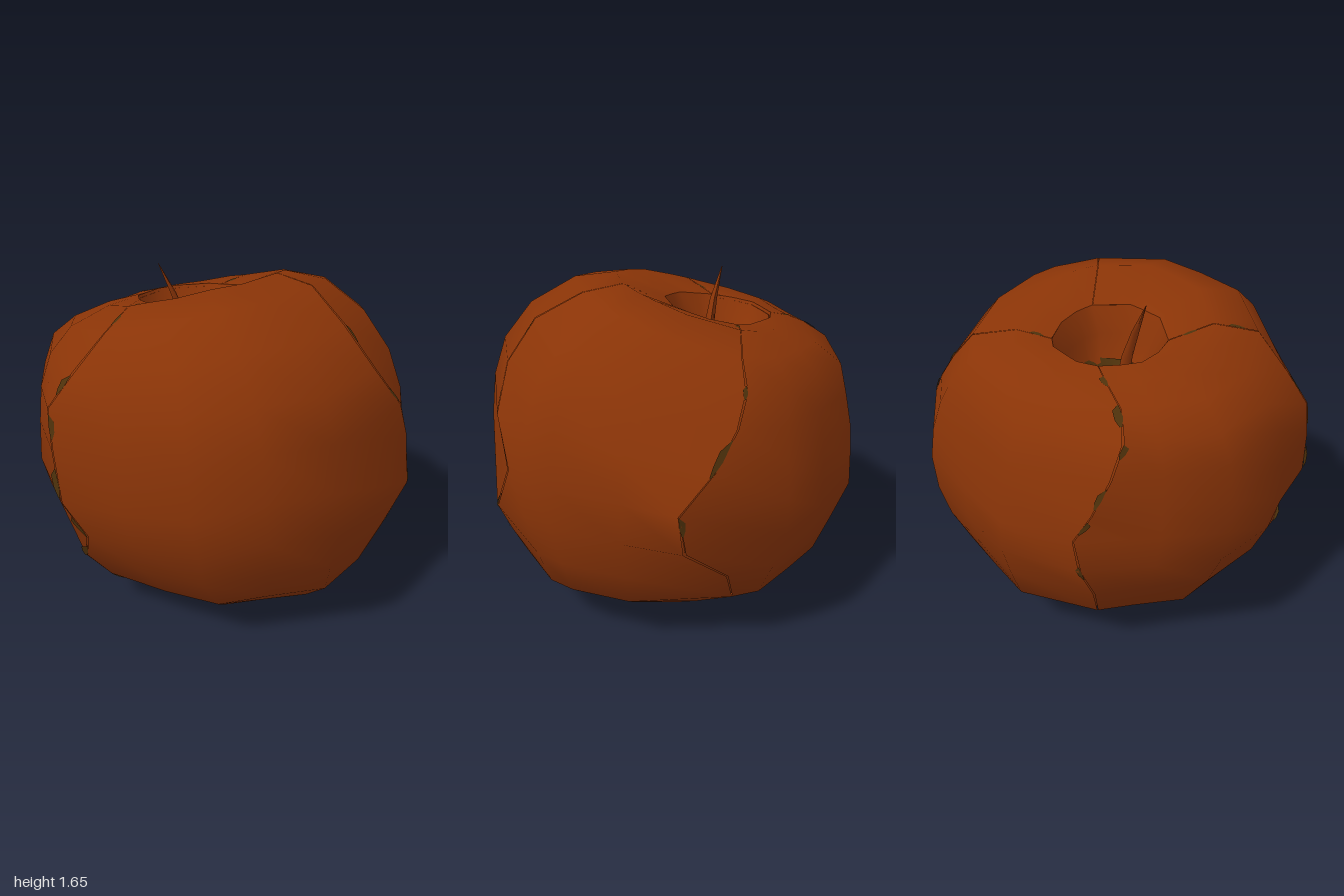
import * as THREE from 'three';

// Plan outline corners [x, z], in order of angle from +x towards +z
const OUTLINE = [[1, 0.12], [0.65, 0.65], [0.38, 0.9], [-0.28, 0.95], [-0.8, 0.58], [-1, -0.15],
  [-0.9, -0.37], [-0.6, -0.77], [0, -0.96], [0.43, -0.83], [0.87, -0.39]];

// Rings from the pit down to the base: left, right, front, back as [extent, height]
const RINGS = [
  [[-0.13, 1.2], [0.15, 1.2], [-0.07, 1.2], [-0.32, 1.2]],
  [[-0.22, 1.36], [0.22, 1.36], [-0.02, 1.4], [-0.45, 1.34]],
  [[-0.28, 1.48], [0.28, 1.47], [0.03, 1.53], [-0.5, 1.45]],
  [[-0.5, 1.52], [0.47, 1.51], [0.27, 1.65], [-0.6, 1.42]],
  [[-0.74, 1.44], [0.7, 1.45], [0.47, 1.62], [-0.73, 1.36]],
  [[-0.86, 1.29], [0.82, 1.33], [0.7, 1.49], [-0.87, 1.27]],
  [[-0.95, 1.15], [0.91, 1.2], [0.85, 1.3], [-0.91, 1.12]],
  [[-0.98, 0.95], [0.97, 1.04], [0.92, 1.1], [-0.94, 0.97]],
  [[-1, 0.7], [1, 0.88], [0.95, 0.88], [-0.95, 0.82]],
  [[-0.95, 0.53], [0.98, 0.68], [0.96, 0.66], [-0.96, 0.67]],
  [[-0.88, 0.36], [0.94, 0.49], [0.9, 0.45], [-0.87, 0.47]],
  [[-0.72, 0.16], [0.84, 0.3], [0.83, 0.26], [-0.79, 0.28]],
  [[-0.57, 0.08], [0.66, 0.18], [0.7, 0.14], [-0.62, 0.16]],
  [[-0.42, 0.01], [0.49, 0.07], [0.57, 0.04], [-0.45, 0.05]],
  [[-0.22, 0], [0.22, 0.03], [0.22, 0.02], [-0.22, 0.01]],
  [[-0.1, 0.12], [0.1, 0.12], [0.1, 0.12], [-0.1, 0.12]],
];
const RIM = 2;

// Angle of each crack, in degrees, at every ring
const CRACKS = {
  right: [-5, -3, -8, -11, -7, -9, -8, -2, 7, 5, -9, -14, -6, 0, 0, 0],
  front: [72, 70, 66, 74, 77, 82, 79, 71, 62, 67, 75, 82, 83, 82, 80, 80],
  left: [182, 180, 184, 178, 174, 183, 189, 187, 185, 180, 186, 188, 185, 185, 185, 185],
  back: [270, 272, 274, 268, 263, 262, 266, 270, 275, 272, 268, 265, 268, 270, 270, 270],
};
const RIGHT_END = CRACKS.right.map((a) => a + 360);

// Shell pieces: starting crack, fixed columns between, ending crack
const SHELLS = [
  ['frontLeftShell', CRACKS.right, [22, 45, 56], CRACKS.front],
  ['frontRightShell', CRACKS.front, [106, 125, 144, 165], CRACKS.left],
  ['backRightShell', CRACKS.left, [208, 232, 251], CRACKS.back],
  ['backLeftShell', CRACKS.back, [297, 316, 336], RIGHT_END],
];

// Broken spots along the cracks: crack, first and last ring, width in degrees
const CHIPS = [
  ['right', 2.2, 2.6, 4], ['right', 4.8, 5.2, 1.5], ['right', 6.2, 7.1, 2.2], ['right', 8, 8.5, -1.4],
  ['front', 5, 5.4, -1], ['front', 6.5, 6.9, 1], ['front', 8.7, 9.1, 1], ['front', 9.5, 9.9, -1],
  ['back', 2.6, 3.1, 3.5], ['back', 3.8, 4.5, 3], ['back', 5, 5.4, -2],
  ['back', 6.2, 6.8, 1.6], ['back', 7.2, 7.7, -1.5], ['back', 8.8, 9.3, 1.4],
  ['left', 2.3, 2.6, 4], ['left', 3.3, 3.7, -2], ['left', 5, 5.6, 2.2], ['left', 6.1, 6.7, -2],
  ['left', 7.3, 7.9, 1.8], ['left', 8.4, 9, 1.8], ['left', 9.5, 10, 2], ['left', 11, 11.4, -2],
];

// Where a ray at the given angle meets the plan outline
function outlineAt(angle) {
  const dx = Math.cos(angle), dz = Math.sin(angle);
  for (let i = 0; i < OUTLINE.length; i++) {
    const [ax, az] = OUTLINE[i], [bx, bz] = OUTLINE[(i + 1) % OUTLINE.length];
    const from = ax * dz - az * dx, to = bx * dz - bz * dx;
    if (from >= 0 && to <= 0 && from !== to && ax * dx + az * dz > 0) {
      const t = from / (from - to);
      return [ax + (bx - ax) * t, az + (bz - az) * t];
    }
  }
  return [dx, dz * 0.955];
}

function surfacePoint([L, R, F, B], degrees) {
  const a = THREE.MathUtils.degToRad(degrees);
  const [ox, oz] = outlineAt(a);
  const s = Math.sin(a);
  const side = THREE.MathUtils.lerp(L[1], R[1], (Math.cos(a) + 1) / 2);
  return [
    (L[0] + R[0]) / 2 + ox * (R[0] - L[0]) / 2,
    THREE.MathUtils.lerp(side, s > 0 ? F[1] : B[1], Math.abs(s)),
    (F[0] + B[0]) / 2 + (oz / 0.955) * (F[0] - B[0]) / 2,
  ];
}

// Scale a point about the middle of the fruit
const scaled = ([x, y, z], k) => [x * k, 0.8 + (y - 0.8) * k, z * k];

// Point beside a crack, at a fractional ring
function crackPoint(angles, level, offset) {
  const i = Math.floor(level), t = level - i;
  const p = surfacePoint(RINGS[i], angles[i] + offset);
  const q = surfacePoint(RINGS[i + 1], angles[i + 1] + offset);
  return scaled(p.map((v, k) => v + (q[k] - v) * t), 1.003);
}

// Skin a grid of points, rows running downwards and columns by rising angle
function gridGeometry(rows) {
  const n = rows[0].length, index = [];
  for (let r = 0; r < rows.length - 1; r++) {
    for (let c = 0; c < n - 1; c++) {
      const a = r * n + c, b = a + 1, d = a + n, e = d + 1;
      index.push(a, b, d, b, e, d);
    }
  }
  const geometry = new THREE.BufferGeometry();
  geometry.setAttribute('position', new THREE.Float32BufferAttribute(rows.flat(2), 3));
  geometry.setIndex(index);
  geometry.computeVertexNormals();
  return geometry;
}

export function createModel() {
  const model = new THREE.Group();
  model.name = 'crackedApple';
  const skin = new THREE.MeshStandardMaterial({ color: 0x8a3407, side: THREE.DoubleSide });
  skin.name = 'russet skin';
  const flesh = new THREE.MeshStandardMaterial({ color: 0x4e310b, side: THREE.DoubleSide });
  flesh.name = 'dark olive flesh';
  const add = (name, geometry, material) => {
    const mesh = new THREE.Mesh(geometry, material);
    mesh.name = name;
    model.add(mesh);
  };

  // Four outer shells, parted by uneven hairline cracks
  const gap = (i) => 0.06 + ((i * 7) % 4) * 0.15;
  for (const [name, start, columns, end] of SHELLS) {
    const rows = RINGS.map((ring, i) =>
      [start[i] + gap(i), ...columns, end[i] - gap(i + 1) * 0.5].map((a) => surfacePoint(ring, a)));
    add(name, gridGeometry(rows.slice(RIM)), skin);
  }

  // Full loops of points: the pit funnel with its sharp rim, and the core under the shells
  const loops = RINGS.map((ring, i) => [
    ...SHELLS.flatMap(([, start, columns]) => [start[i], ...columns]), RIGHT_END[i],
  ].map((a) => surfacePoint(ring, a)));
  add('pit', gridGeometry([loops[0].map(() => [0.01, 1.17, -0.2]), ...loops.slice(0, RIM + 1)]), skin);
  const coreRows = loops.slice(RIM).map((row) => row.map((p) => scaled(p, 0.98)));
  coreRows.push(coreRows[0].map(() => [0, 0.15, 0]));
  add('core', gridGeometry(coreRows), skin);

  // Flesh showing where the crack edges are chipped
  for (const [crack, top, bottom, width] of CHIPS) {
    const angles = CRACKS[crack], span = bottom - top;
    add('crackChip', gridGeometry([
      [crackPoint(angles, top, 0), crackPoint(angles, top + span * 0.3, width)],
      [crackPoint(angles, top + span * 0.6, -width * 0.2), crackPoint(angles, top + span * 0.7, width * 0.8)],
      [crackPoint(angles, bottom, 0), crackPoint(angles, bottom, width * 0.3)],
    ]), flesh);
  }

  // Ragged ring of flesh low in the pit
  const ringRow = (radius, y) => Array.from({ length: 13 }, (_, k) => {
    const a = k * Math.PI / 6, r = radius(k % 12);
    return [0.01 + Math.cos(a) * r, y, -0.2 + Math.sin(a) * r];
  });
  add('pitRing', gridGeometry([
    ringRow((k) => 0.09 + ((k * 5) % 4) * 0.012, 1.21),
    ringRow((k) => 0.135 + ((k * 7) % 3) * 0.012, 1.28),
  ]), flesh);

  // Leaning, tapering stem rising out of the pit
  const stemRows = [[-0.17, 1.65, -0.28, 0.002], [-0.12, 1.5, -0.23, 0.018],
    [-0.08, 1.36, -0.2, 0.026], [-0.05, 1.15, -0.19, 0.035]]
    .map(([x, y, z, r]) => [0, 1, 2, 3, 4].map((k) => {
      const a = k * Math.PI / 2;
      return [x + Math.cos(a) * r, y, z + Math.sin(a) * r];
    }));
  add('stem', gridGeometry(stemRows), skin);

  // Ragged sepals around the base hollow
  for (let k = 0; k < 7; k++) {
    const a = k * Math.PI * 2 / 7, r = 0.2 + (k % 3) * 0.03;
    const at = (angle, radius, y) => [Math.cos(angle) * radius, y, Math.sin(angle) * radius];
    const rows = [[at(a - 0.25, r, 0.025), at(a + 0.25, r, 0.025)],
      [at(a, 0.06, 0.02 + (k % 2) * 0.03), at(a + 0.1, 0.06, 0.03)]];
    add('sepal', gridGeometry(rows), k % 3 ? skin : flesh);
  }
  return model;
}
